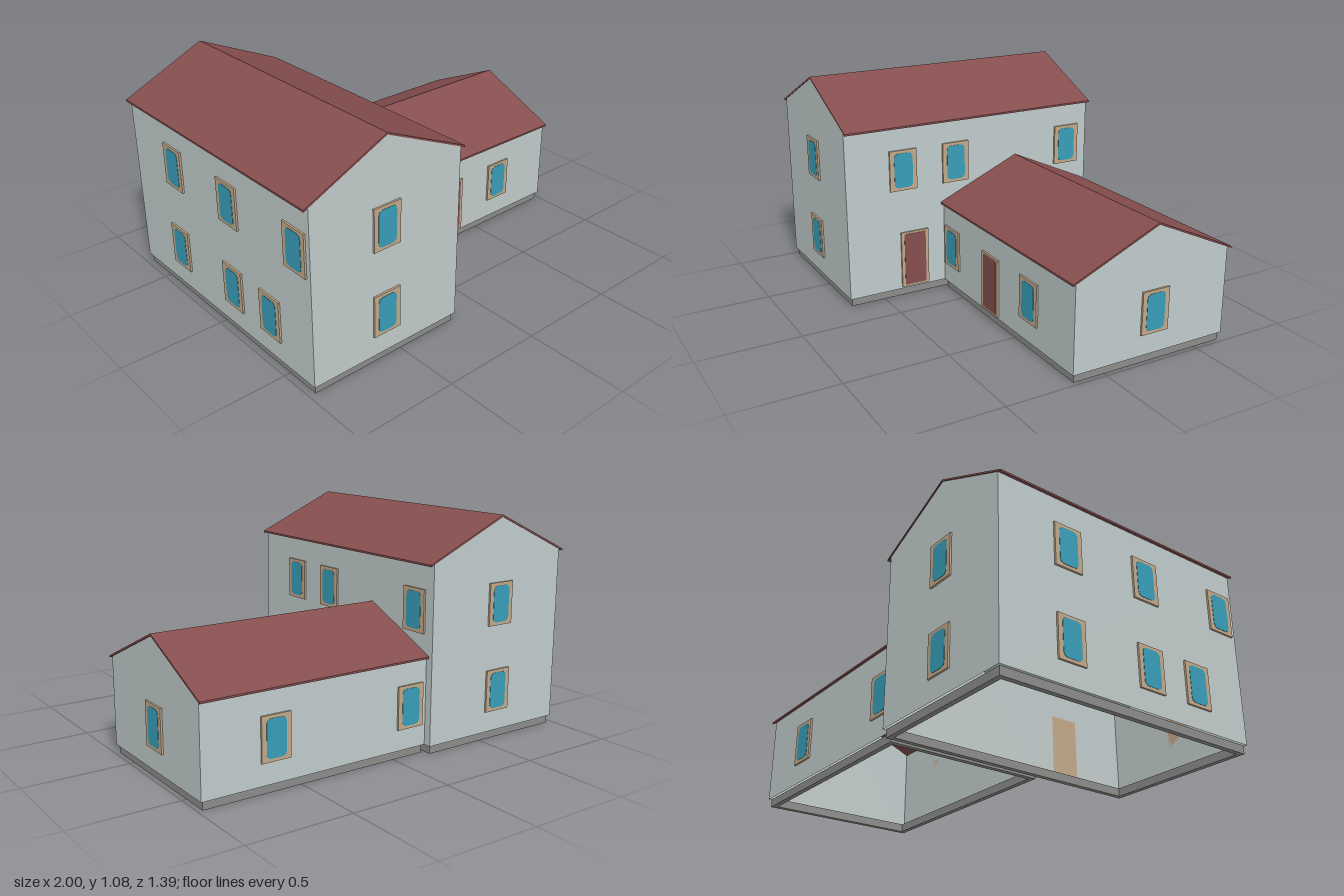
import * as THREE from 'three';

const mat = (name, color, side = THREE.FrontSide) => {
  const m = new THREE.MeshStandardMaterial({ color, side });
  m.name = name;
  return m;
};

export function createModel() {
  const house = new THREE.Group();
  house.name = 'house';
  const wall = mat('pale wall', 0xc1cbcb, THREE.DoubleSide);
  const red = mat('dark red', 0x864e4e);
  const stone = mat('grey stone', 0x8c8c8a);
  const tan = mat('tan frame', 0xc2a98a);
  const blue = mat('blue glass', 0x389eb9);

  const add = (parent, name, geometry, material, x = 0, y = 0, z = 0) => {
    const mesh = new THREE.Mesh(geometry, material);
    mesh.name = name;
    mesh.position.set(x, y, z);
    parent.add(mesh);
    return mesh;
  };
  const polygon = (points) => new THREE.Shape(points.map(([x, y]) => new THREE.Vector2(x, y)));
  const rectangle = (x0, y0, x1, y1) => polygon([[x0, y0], [x1, y0], [x1, y1], [x0, y1]]);
  const extrude = (shape, depth) => new THREE.ExtrudeGeometry(shape, { depth, bevelEnabled: false });

  // Gabled volume, open underneath: cross-section in x/y, running from z0 to z1
  function gabledBlock(name, s) {
    const g = new THREE.Group();
    g.name = name;
    const { x0, x1, z0, z1, ridgeX, ridgeY, eaveX0, eaveX1, eaveY, base, thick } = s;
    const roofAt = (x) => {
      const end = x < ridgeX ? eaveX0 : eaveX1;
      return ridgeY - thick + (eaveY - ridgeY) * (x - ridgeX) / (end - ridgeX);
    };
    const gable = new THREE.ShapeGeometry(polygon(
      [[x0, base], [x1, base], [x1, roofAt(x1)], [ridgeX, ridgeY - thick], [x0, roofAt(x0)]]));
    add(g, 'gableWall', gable, wall, 0, 0, z1);
    add(g, 'gableWall', gable.clone().rotateY(Math.PI).translate(0, 0, 0), wall, 0, 0, z0).scale.set(-1, 1, -1);
    g.children[1].geometry = gable;
    g.children[1].scale.set(1, 1, 1);
    for (const [x, turn] of [[x0, -1], [x1, 1]]) {
      const h = roofAt(x) - base;
      add(g, 'sideWall', new THREE.PlaneGeometry(z1 - z0, h), wall, x, base + h / 2, (z0 + z1) / 2)
        .rotation.y = turn * Math.PI / 2;
    }
    // Thin folded roof
    add(g, 'roof', extrude(polygon([[eaveX0, eaveY - thick], [ridgeX, ridgeY - thick], [eaveX1, eaveY - thick],
      [eaveX1, eaveY], [ridgeX, ridgeY], [eaveX0, eaveY]]), s.roofZ1 - s.roofZ0), red, 0, 0, s.roofZ0);
    // Hollow plinth ring, set in slightly from the walls
    const inset = 0.011, rim = 0.025;
    const ring = rectangle(x0 + inset, -z1 + inset, x1 - inset, -z0 - inset);
    ring.holes.push(rectangle(x0 + inset + rim, -z1 + inset + rim, x1 - inset - rim, -z0 - inset - rim));
    add(g, 'plinth', extrude(ring, base).rotateX(-Math.PI / 2), stone);
    house.add(g);
    return g;
  }

  const tower = gabledBlock('mainBlock', {
    x0: -0.978, x1: -0.176, z0: -0.686, z1: 0.686, ridgeX: -0.586, ridgeY: 1.078,
    eaveX0: -1, eaveX1: -0.153, eaveY: 0.886, base: 0.04, thick: 0.009, roofZ0: -0.69, roofZ1: 0.688,
  });
  add(tower, 'upperFloor', new THREE.PlaneGeometry(0.80, 1.37), wall, -0.577, 0.46, 0).rotation.x = Math.PI / 2;

  const wing = gabledBlock('sideWing', {
    x0: -0.167, x1: 0.648, z0: -0.176, z1: 0.989, ridgeX: 0.25, ridgeY: 0.65,
    eaveX0: -0.184, eaveX1: 0.666, eaveY: 0.462, base: 0.04, thick: 0.009, roofZ0: -0.176, roofZ1: 0.995,
  });
  wing.rotation.y = Math.PI / 2;

  // Panel with cut-in rounded corners
  function panel(w, h, r) {
    const s = new THREE.Shape(), a = w / 2, b = h / 2;
    s.moveTo(-a + r, -b).lineTo(a - r, -b).quadraticCurveTo(a, -b, a, -b + r);
    s.lineTo(a, b - r).quadraticCurveTo(a, b, a - r, b);
    s.lineTo(-a + r, b).quadraticCurveTo(-a, b, -a, b - r);
    s.lineTo(-a, -b + r).quadraticCurveTo(-a, -b, -a + r, -b);
    return extrude(s, 0.002);
  }
  const windowFrame = new THREE.BoxGeometry(0.144, 0.204, 0.009);
  const doorFrame = new THREE.BoxGeometry(0.148, 0.29, 0.009);
  const glass = panel(0.098, 0.174, 0.026);
  const doorLeaf = panel(0.116, 0.27, 0.006);

  function opening(kind, x, y, z, turn) {
    const g = new THREE.Group();
    g.name = kind;
    const isDoor = kind === 'door';
    add(g, 'frame', isDoor ? doorFrame : windowFrame, tan, 0, 0, 0.0045);
    add(g, isDoor ? 'doorLeaf' : 'glass', isDoor ? doorLeaf : glass, isDoor ? red : blue, 0, 0, 0.0085);
    g.position.set(x, y, z);
    g.rotation.y = turn;
    house.add(g);
  }

  const low = 0.243, high = 0.663, doorY = 0.195, quarter = Math.PI / 2;
  // Front and back of the main block
  for (const y of [low, high]) {
    opening('window', -0.59, y, 0.686, 0);
    opening('window', -0.59, y, -0.686, Math.PI);
  }
  // Main block sides
  for (const z of [0.387, 0.1, -0.56]) opening('window', -0.176, high, z, quarter);
  opening('door', -0.176, doorY, 0.335, quarter);
  for (const z of [-0.33, 0.11, 0.59]) opening('window', -0.978, high, z, -quarter);
  for (const z of [-0.33, 0.11, 0.39]) opening('window', -0.978, low, z, -quarter);
  // Wing
  for (const x of [-0.083, 0.637]) {
    opening('window', x, low, 0.167, 0);
    opening('window', x, low, -0.648, Math.PI);
  }
  opening('door', 0.299, doorY, 0.167, 0);
  opening('window', 0.989, low, -0.252, quarter);

  return house;
}
